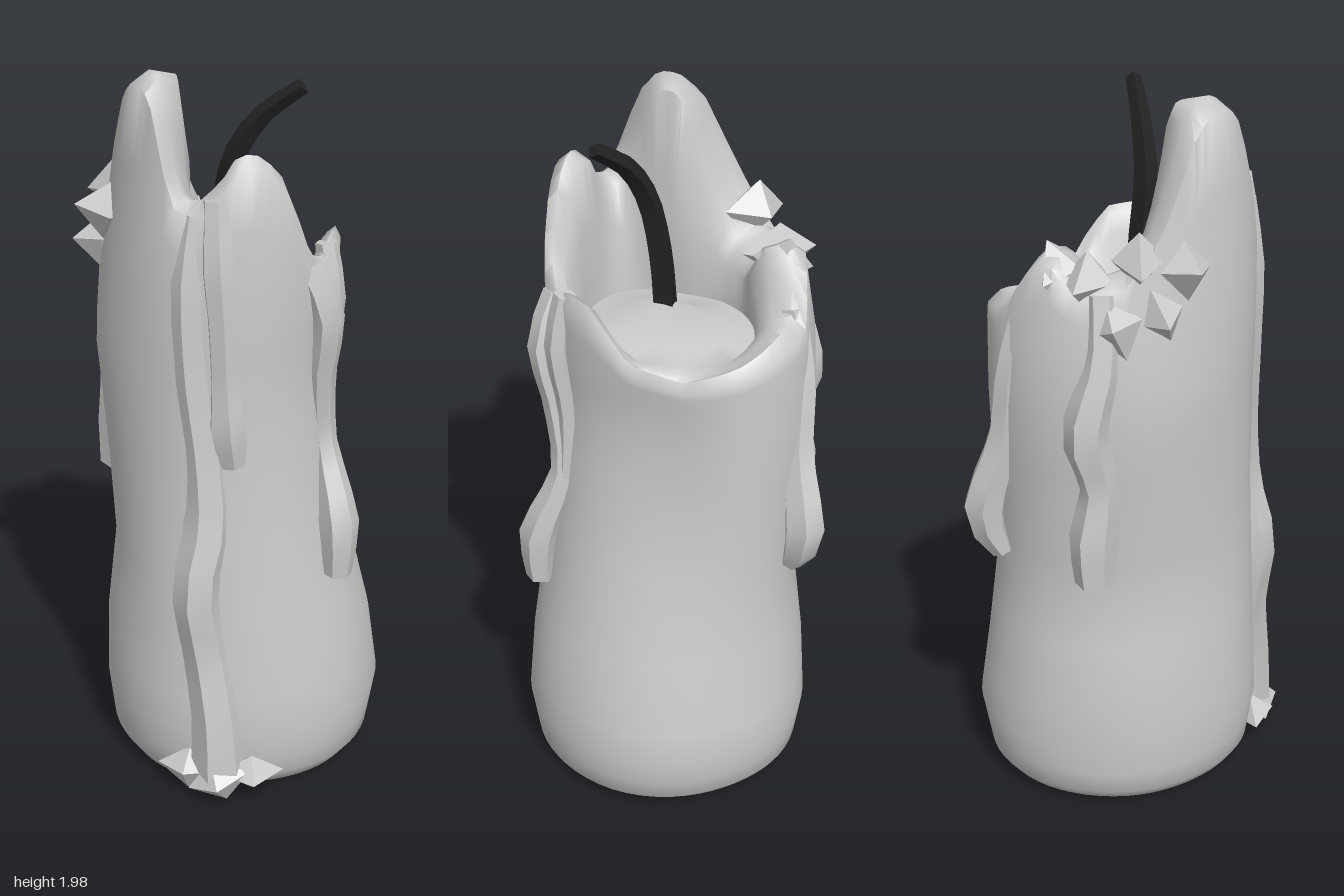
import * as THREE from 'three';
import { toCreasedNormals } from 'three/addons/utils/BufferGeometryUtils.js';

const rad = THREE.MathUtils.degToRad;

// Body outline: [y, -x reach, +x reach, -z reach, +z reach, bulge or dent of the back left side]
const OUTLINE = [
  [0.02, 0.30, 0.37, 0.36, 0.32, 0.01], [0.06, 0.335, 0.4, 0.39, 0.345, 0.02], [0.2, 0.35, 0.42, 0.415, 0.365, 0.025],
  [0.4, 0.345, 0.40, 0.39, 0.355, 0.015], [0.65, 0.315, 0.355, 0.365, 0.345, -0.01], [0.9, 0.335, 0.325, 0.37, 0.335, -0.05],
  [1.2, 0.365, 0.305, 0.38, 0.335, -0.07], [1.4, 0.355, 0.32, 0.375, 0.34, -0.05], [1.6, 0.32, 0.32, 0.35, 0.335, -0.03],
  [1.8, 0.295, 0.30, 0.33, 0.315, 0], [2.0, 0.27, 0.25, 0.3, 0.295, 0],
];
// Melted rim: [angle from front towards +x, height]
const RIM = [
  [-180, 1.43], [-160, 1.47], [-144, 1.49], [-134, 1.6], [-124, 1.66], [-110, 1.57], [-90, 1.6], [-76, 1.7],
  [-64, 1.83], [-54, 1.94], [-44, 1.99], [-32, 2.0], [-20, 1.98], [-11, 1.87], [-2, 1.73], [9, 1.70], [22, 1.76],
  [32, 1.83], [44, 1.82], [56, 1.75], [64, 1.6], [75, 1.51], [88, 1.57], [102, 1.56], [112, 1.5], [122, 1.42],
  [150, 1.39], [180, 1.43],
];

// Linear lookup in a table sorted by its first column
function lookup(table, v, col) {
  let i = 1;
  while (i < table.length - 1 && table[i][0] < v) i++;
  const a = table[i - 1], b = table[i];
  const t = THREE.MathUtils.clamp((v - a[0]) / (b[0] - a[0]), 0, 1);
  return a[col] + (b[col] - a[col]) * t;
}

// Point on the wax wall, moved outward by `out`
function wall(deg, y, out = 0) {
  const s = Math.sin(rad(deg)), c = Math.cos(rad(deg));
  const lobe = (centre) => Math.max(0, Math.cos(rad(deg - centre))) ** 4;
  const shift = out + lookup(OUTLINE, y, 5) * lobe(138) + 0.02 * lobe(-135) - 0.025 * lobe(-45);
  const rx = lookup(OUTLINE, y, s < 0 ? 1 : 2) + shift;
  const rz = lookup(OUTLINE, y, c < 0 ? 3 : 4) + shift;
  return new THREE.Vector3(s * rx, y, c * rz);
}

// Wall thickness at the crater: heavy on the right side, thin on the left
const thickness = (deg) => 0.105 - 0.05 * Math.sin(rad(deg)) + 0.02 * Math.cos(rad(deg));

// Skin a list of equally long closed rings
function skin(rings, crease) {
  const n = rings[0].length, index = [];
  for (let r = 0; r < rings.length - 1; r++) {
    for (let i = 0; i < n; i++) {
      const a = r * n + i, b = r * n + (i + 1) % n;
      index.push(a, b, b + n, a, b + n, a + n);
    }
  }
  const geo = new THREE.BufferGeometry().setFromPoints(rings.flat());
  geo.setIndex(index);
  return toCreasedNormals(geo, crease);
}

// Hollow melted body: underside, wall, rim, crater
function bodyGeometry() {
  const cols = 60, rings = [];
  const ring = (fn) => rings.push(Array.from({ length: cols }, (_, i) => {
    const deg = -180 + i * 360 / cols;
    return fn(deg, lookup(RIM, deg, 1), thickness(deg));
  }));
  ring(() => new THREE.Vector3(0.03, 0.03, -0.01));
  for (const y of [0.02, 0.06, 0.12, 0.2, 0.3, 0.4, 0.52, 0.65, 0.78, 0.9, 1.05, 1.2, 1.3]) ring((d) => wall(d, y));
  for (const t of [0.35, 0.7, 1]) ring((d, top) => wall(d, 1.3 + (top - 0.03 - 1.3) * t));
  ring((d, top, w) => wall(d, top, -0.3 * w).setY(top));
  ring((d, top, w) => wall(d, top, -0.75 * w).setY(top - 0.02));
  ring((d, top, w) => wall(d, top, -w).setY(top - 0.4 * (top - 1.38)));
  ring((d, top, w) => wall(d, 1.4, -w - 0.03).setY(1.39));
  ring((d, top, w) => wall(d, 1.4, -w - 0.1).setY(1.4));
  ring(() => new THREE.Vector3(0.02, 1.45, 0.03));
  return skin(rings, rad(60));
}

// Capped sweep along points with a radius at each point
function sweep(points, radii, sides, steps, crease) {
  const curve = new THREE.CatmullRomCurve3(points);
  const { normals, binormals } = curve.computeFrenetFrames(steps);
  const rings = [];
  for (let k = 0; k <= steps; k++) {
    const t = k / steps, p = curve.getPointAt(t);
    const u = curve.getUtoTmapping(t) * (radii.length - 1);
    const i = Math.min(Math.floor(u), radii.length - 2);
    const r = THREE.MathUtils.lerp(radii[i], radii[i + 1], u - i);
    const ring = (size) => Array.from({ length: sides }, (_, j) => {
      const a = j / sides * Math.PI * 2;
      return p.clone().addScaledVector(normals[k], Math.cos(a) * size).addScaledVector(binormals[k], Math.sin(a) * size);
    });
    if (k === 0) rings.push(ring(0));
    rings.push(ring(r));
    if (k === steps) rings.push(ring(0));
  }
  return skin(rings, crease);
}

// Wax runs: [angle, height, radius, outward offset]
const DRIPS = {
  longFrontDrip: [[9, 1.68, 0.035, -0.03], [6, 1.5, 0.05, -0.03], [8, 1.25, 0.055, -0.035], [14, 1.0, 0.06, -0.035],
    [15, 0.82, 0.065, -0.025], [10, 0.65, 0.065, 0.005], [13, 0.45, 0.065, -0.02], [17, 0.25, 0.07, -0.015],
    [18, 0.08, 0.08, 0]],
  shortFrontDrip: [[20, 1.72, 0.035, -0.02], [21, 1.55, 0.045, -0.01], [23, 1.4, 0.04, -0.01], [25, 1.22, 0.04, -0.01],
    [26, 1.1, 0.055, -0.015], [28, 1.0, 0.035, -0.02]],
  leftDrip: [[70, 1.51, 0.04, -0.03], [75, 1.38, 0.045, 0.02], [78, 1.2, 0.04, 0.01], [82, 1.0, 0.035, -0.005],
    [77, 0.78, 0.055, 0.04], [76, 0.63, 0.04, 0.02]],
  leftSideRun: [[85, 1.55, 0.03, -0.02], [84, 1.4, 0.035, 0.005], [85, 1.2, 0.03, 0], [84, 0.95, 0.025, -0.01]],
  rightDrip: [[-100, 1.55, 0.04, -0.02], [-99, 1.38, 0.05, -0.02], [-105, 1.18, 0.065, -0.005], [-100, 1.03, 0.05, 0],
    [-102, 0.88, 0.065, 0.02], [-101, 0.75, 0.055, 0.035]],
  backDrip: [[-138, 1.5, 0.035, -0.04], [-143, 1.3, 0.04, -0.02], [-147, 1.1, 0.045, -0.01], [-152, 0.86, 0.06, 0.05],
    [-149, 0.74, 0.03, 0.01]],
};

// Wax crumbs: [angle, height, outward offset, width, height, depth]
const RIGHT_CRUMBS = [
  [-62, 1.6, 0, 0.07, 0.08, 0.09], [-74, 1.49, -0.01, 0.06, 0.08, 0.09], [-84, 1.63, -0.03, 0.07, 0.08, 0.1],
  [-94, 1.47, -0.01, 0.07, 0.09, 0.07], [-108, 1.57, -0.05, 0.07, 0.08, 0.1], [-122, 1.58, -0.06, 0.07, 0.09, 0.08],
];
const FOOT_CRUMBS = [
  [6, 0.085, 0.015, 0.09, 0.06, 0.06], [18, 0.075, 0.045, 0.09, 0.065, 0.06], [30, 0.09, 0.02, 0.09, 0.06, 0.06],
];

export function createModel() {
  const model = new THREE.Group();
  const wax = new THREE.MeshStandardMaterial({ color: 0xcccccc });
  const wickMaterial = new THREE.MeshStandardMaterial({ color: 0x222222 });
  const add = (name, geo, material = wax, parent = model) => {
    const mesh = new THREE.Mesh(geo, material);
    mesh.name = name;
    parent.add(mesh);
    return mesh;
  };

  add('candleBody', bodyGeometry());

  for (const [name, path] of Object.entries(DRIPS)) {
    const points = path.map(([deg, y, , out]) => wall(deg, y, out));
    add(name, sweep(points, path.map((p) => p[2]), 6, path.length * 2, rad(35)));
  }

  // Angular lumps on the right rim and at the front foot
  const crumbGeo = toCreasedNormals(new THREE.OctahedronGeometry(1), 0.1);
  const addCrumbs = (name, list) => {
    const group = new THREE.Group();
    group.name = name;
    list.forEach(([deg, y, out, w, h, d], i) => {
      const crumb = add('waxCrumb', crumbGeo, wax, group);
      crumb.position.copy(wall(deg, y, out));
      crumb.rotation.set(0.2 * (i % 3 - 1), rad(deg), 0.35 * (i % 2), 'YXZ');
      crumb.scale.set(w, h, d);
    });
    model.add(group);
  };
  addCrumbs('rightRimCrumbs', RIGHT_CRUMBS);
  addCrumbs('footCrumbs', FOOT_CRUMBS);

  // Bent square wick
  const wickPath = [[0, 1.4, 0.02], [0.01, 1.58, 0.03], [0.04, 1.74, 0.04], [0.11, 1.86, 0.025], [0.215, 1.945, 0.002]]
    .map((p) => new THREE.Vector3(...p));
  add('wick', sweep(wickPath, [0.036, 0.034, 0.031, 0.026, 0.021], 4, 10, rad(40)), wickMaterial);

  return model;
}
